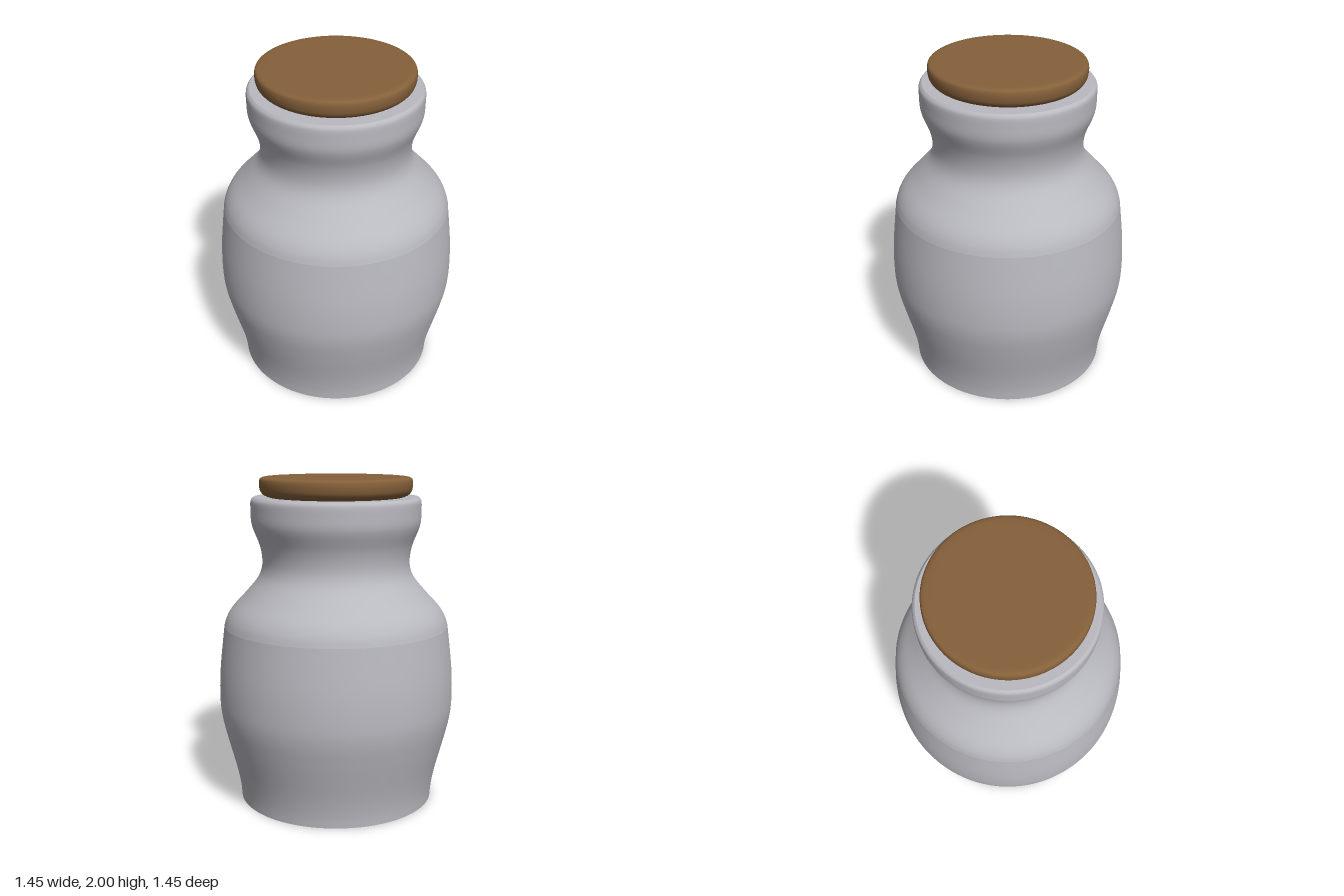
import * as THREE from 'three';

const stoneware = new THREE.MeshStandardMaterial({ color: 0xb9b9c0 });
stoneware.name = 'grey stoneware';
const cork = new THREE.MeshStandardMaterial({ color: 0x85603a });
cork.name = 'brown cork';

const SIDES = 96;

// Smooth profile through [radius, height] points, listed bottom to top
function smooth(points, steps) {
  const curve = new THREE.SplineCurve(points.map(([r, y]) => new THREE.Vector2(r, y)));
  return curve.getPoints(steps);
}

function turned(name, profile, material) {
  const mesh = new THREE.Mesh(new THREE.LatheGeometry(profile, SIDES), material);
  mesh.name = name;
  return mesh;
}

// Flat disc or ring facing up or down
function flat(name, inner, outer, y, up, material) {
  const geometry = inner > 0
    ? new THREE.RingGeometry(inner, outer, SIDES)
    : new THREE.CircleGeometry(outer, SIDES);
  geometry.rotateX(up ? -Math.PI / 2 : Math.PI / 2);
  const mesh = new THREE.Mesh(geometry, material);
  mesh.name = name;
  mesh.position.y = y;
  return mesh;
}

export function createModel() {
  const model = new THREE.Group();
  model.name = 'corkedJar';

  // Jar: belly, then shoulder and neck, with a faint crease between them
  const belly = smooth([
    [0.605, 0], [0.612, 0.08], [0.635, 0.2], [0.687, 0.4],
    [0.718, 0.54], [0.727, 0.66], [0.72, 0.84], [0.69, 1.1],
  ], 48);
  const neck = smooth([
    [0.69, 1.1], [0.672, 1.155], [0.634, 1.215], [0.555, 1.3], [0.484, 1.385],
    [0.455, 1.45], [0.451, 1.52], [0.467, 1.6], [0.502, 1.69], [0.514, 1.74], [0.516, 1.8],
  ], 64);
  const lip = smooth([[0.516, 1.8], [0.516, 1.845], [0.511, 1.866], [0.498, 1.88]], 12);
  model.add(
    flat('jarBase', 0, 0.605, 0, false, stoneware),
    turned('jarBelly', belly, stoneware),
    turned('jarNeck', neck, stoneware),
    turned('jarLip', lip, stoneware),
    flat('jarRim', 0.36, 0.498, 1.88, true, stoneware),
  );

  // Cork stopper with rounded edges, seated on the rim
  const side = smooth([
    [0.405, 1.88], [0.435, 1.892], [0.455, 1.915], [0.462, 1.945],
    [0.462, 1.972], [0.455, 1.99], [0.435, 1.998], [0.4, 2],
  ], 32);
  model.add(
    flat('stopperUnderside', 0, 0.405, 1.88, false, cork),
    turned('stopperSide', side, cork),
    flat('stopperTop', 0, 0.4, 2, true, cork),
  );

  return model;
}
